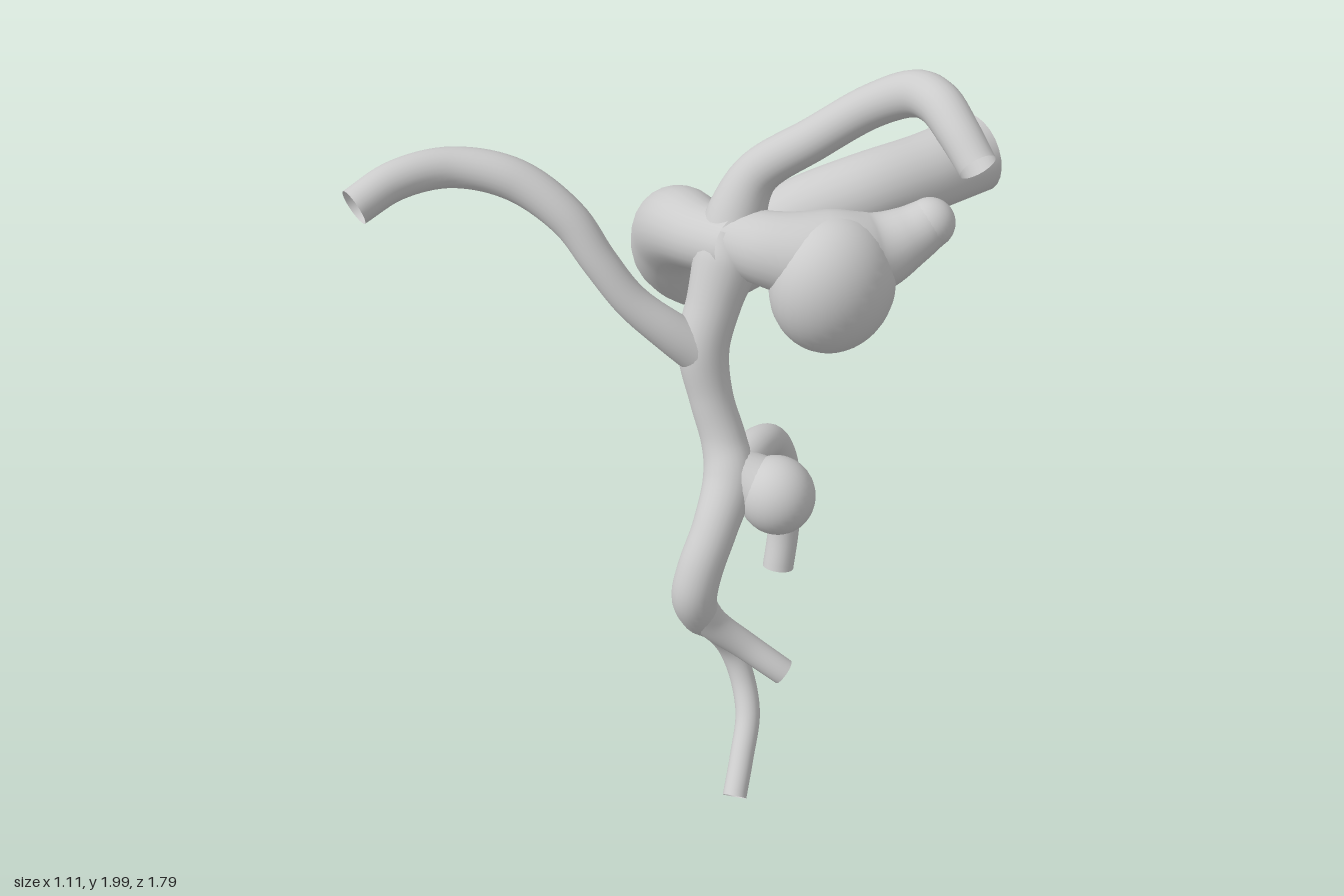
import * as THREE from 'three';

const material = new THREE.MeshStandardMaterial({ color: 0xcccccc, side: THREE.DoubleSide });

// Open tube through [x, y, z, radius] stations, with smoothly changing radius
function vessel(name, stations, sides = 24, stepsPerSpan = 7) {
  const path = new THREE.CatmullRomCurve3(stations.map(([x, y, z]) => new THREE.Vector3(x, y, z)));
  const radii = new THREE.CatmullRomCurve3(
    stations.map((s) => new THREE.Vector3(s[3], 0, 0)), false, 'catmullrom');
  const steps = (stations.length - 1) * stepsPerSpan;
  const { normals, binormals } = path.computeFrenetFrames(steps);
  const positions = [];
  const index = [];
  for (let i = 0; i <= steps; i++) {
    const t = path.getUtoTmapping(i / steps);
    const centre = path.getPoint(t);
    const r = radii.getPoint(t).x;
    for (let j = 0; j < sides; j++) {
      const a = (j / sides) * Math.PI * 2;
      const p = centre.clone()
        .addScaledVector(normals[i], r * Math.cos(a))
        .addScaledVector(binormals[i], r * Math.sin(a));
      positions.push(p.x, p.y, p.z);
      if (i < steps) {
        const k = (j + 1) % sides;
        const a0 = i * sides + j, a1 = i * sides + k;
        index.push(a0, a1, a0 + sides, a1, a1 + sides, a0 + sides);
      }
    }
  }
  const geometry = new THREE.BufferGeometry();
  geometry.setAttribute('position', new THREE.Float32BufferAttribute(positions, 3));
  geometry.setIndex(index);
  geometry.computeVertexNormals();
  const mesh = new THREE.Mesh(geometry, material);
  mesh.name = name;
  return mesh;
}

// Rounded swelling
function sac(name, centre, size, tilt = 0) {
  const mesh = new THREE.Mesh(new THREE.SphereGeometry(1, 32, 24), material);
  mesh.position.set(...centre);
  mesh.scale.set(...size);
  mesh.rotation.x = tilt;
  mesh.name = name;
  return mesh;
}

export function createModel() {
  const model = new THREE.Group();
  model.name = 'branchingVessel';

  // Wide inlet: runs forward from the back, loops down and climbs to the junction
  model.add(vessel('mainInlet', [
    [-0.15, 1.36, -0.89, 0.115], [-0.155, 1.355, -0.7, 0.112], [-0.19, 1.34, -0.52, 0.112],
    [-0.27, 1.28, -0.37, 0.112], [-0.36, 1.18, -0.25, 0.114], [-0.43, 1.12, -0.14, 0.118],
    [-0.425, 1.2, -0.05, 0.12], [-0.35, 1.33, 0.01, 0.118], [-0.24, 1.42, 0.06, 0.108],
    [-0.1, 1.47, 0.085, 0.09], [0.03, 1.5, 0.07, 0.085],
  ]));

  // Upper branch
  model.add(vessel('upperBranch', [
    [-0.02, 1.48, 0.06, 0.095], [-0.03, 1.57, 0.03, 0.075], [-0.02, 1.66, -0.02, 0.06],
    [0.07, 1.765, -0.13, 0.055], [0.17, 1.87, -0.24, 0.055], [0.27, 1.93, -0.29, 0.058],
    [0.36, 1.942, -0.285, 0.056], [0.45, 1.91, -0.27, 0.052], [0.535, 1.86, -0.26, 0.048],
  ]));

  // Large swelling with its neck and small rear lobe
  const large = new THREE.Group();
  large.name = 'largeSwelling';
  large.add(sac('largeSac', [0.21, 1.42, -0.09], [0.15, 0.185, 0.17]));
  large.add(vessel('largeSacLobe', [
    [-0.02, 1.5, 0.06, 0.085], [0.09, 1.5, 0.01, 0.1], [0.18, 1.48, -0.1, 0.125],
    [0.22, 1.475, -0.22, 0.105], [0.25, 1.505, -0.3, 0.08], [0.27, 1.535, -0.355, 0.066],
  ]));
  large.add(sac('largeSacTip', [0.27, 1.535, -0.355], [0.066, 0.066, 0.066]));
  model.add(large);

  // Trunk down from the junction, continuing into the lower trunk
  model.add(vessel('trunk', [
    [-0.01, 1.53, 0.06, 0.07], [0.0, 1.46, 0.09, 0.085], [0.02, 1.36, 0.145, 0.072],
    [0.04, 1.25, 0.195, 0.068], [0.085, 1.12, 0.205, 0.058], [0.14, 1.01, 0.205, 0.06],
    [0.19, 0.935, 0.225, 0.068], [0.245, 0.84, 0.31, 0.06], [0.265, 0.74, 0.375, 0.06],
    [0.268, 0.66, 0.397, 0.06], [0.26, 0.58, 0.375, 0.052], [0.245, 0.53, 0.35, 0.042],
  ]));

  // Front branch
  model.add(vessel('frontBranch', [
    [0.045, 1.23, 0.195, 0.065], [0.0, 1.3, 0.265, 0.054], [-0.07, 1.39, 0.34, 0.046],
    [-0.14, 1.49, 0.385, 0.046], [-0.22, 1.59, 0.42, 0.05], [-0.34, 1.675, 0.5, 0.054],
    [-0.44, 1.705, 0.62, 0.052], [-0.475, 1.7, 0.76, 0.05], [-0.475, 1.665, 0.88, 0.048],
  ]));

  // Small swelling at the lower fork
  const small = new THREE.Group();
  small.name = 'smallSwelling';
  small.add(sac('smallSac', [0.285, 0.89, 0.14], [0.104, 0.106, 0.1]));
  small.add(vessel('smallSacNeck', [
    [0.17, 0.945, 0.21, 0.065], [0.22, 0.92, 0.18, 0.075], [0.28, 0.89, 0.145, 0.09],
  ]));
  model.add(small);

  // Rear lower branch
  model.add(vessel('rearLowerBranch', [
    [0.185, 0.935, 0.22, 0.06], [0.16, 0.955, 0.13, 0.052], [0.13, 0.93, 0.05, 0.047],
    [0.112, 0.84, -0.002, 0.045], [0.105, 0.7, -0.025, 0.044], [0.115, 0.58, -0.013, 0.043],
    [0.135, 0.475, 0.02, 0.043],
  ]));

  // Short and long end branches
  model.add(vessel('shortEndBranch', [
    [0.265, 0.63, 0.39, 0.05], [0.285, 0.55, 0.35, 0.043], [0.335, 0.475, 0.285, 0.038],
    [0.42, 0.4, 0.215, 0.036],
  ]));
  model.add(vessel('longEndBranch', [
    [0.265, 0.62, 0.385, 0.052], [0.235, 0.52, 0.34, 0.042], [0.205, 0.43, 0.28, 0.036],
    [0.212, 0.34, 0.238, 0.034], [0.25, 0.26, 0.23, 0.034], [0.31, 0.18, 0.255, 0.034],
    [0.37, 0.1, 0.32, 0.033], [0.425, 0.03, 0.385, 0.033],
  ]));

  return model;
}
